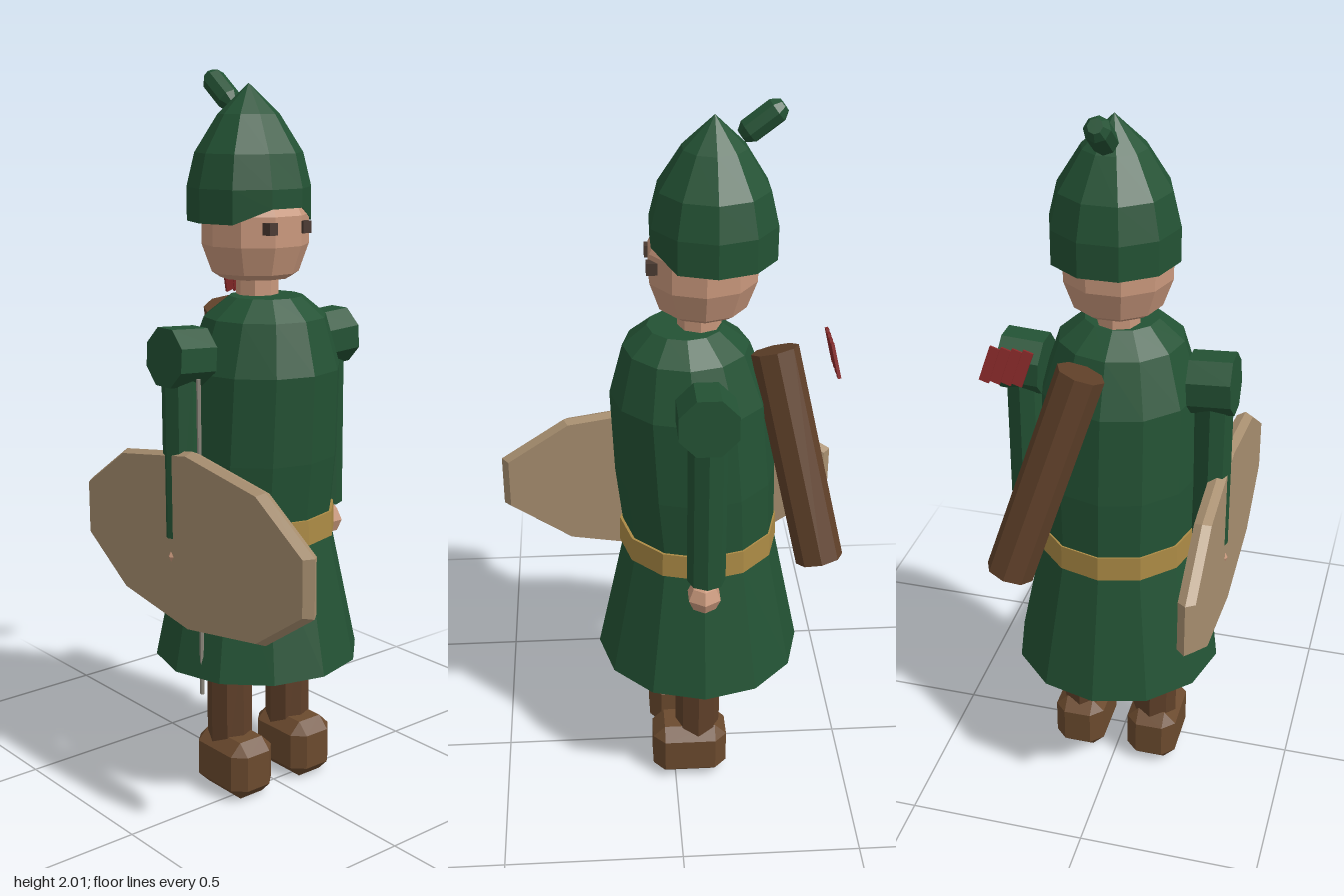
import * as THREE from 'three';
import { ConvexGeometry } from 'three/addons/geometries/ConvexGeometry.js';

const paint = (color, extra = {}) => new THREE.MeshStandardMaterial({ color, flatShading: true, ...extra });

export function createModel() {
  const model = new THREE.Group();
  const green = paint(0x235234);
  const greenOpen = paint(0x235234, { side: THREE.DoubleSide });
  const brown = paint(0x5f4029);
  const boot = paint(0x6b4a2e);
  const skin = paint(0xc9987c);
  const gold = paint(0xab8a45);
  const wood = paint(0xa88f70);
  const dark = paint(0x4a3a32);
  const red = paint(0x8a2a2a);
  const grey = paint(0x8c877c);

  const add = (name, geometry, material, x = 0, y = 0, z = 0) => {
    const mesh = new THREE.Mesh(geometry, material);
    mesh.name = name;
    mesh.position.set(x, y, z);
    model.add(mesh);
    return mesh;
  };
  // Turned shape from [radius, height] pairs, listed bottom to top
  const lathe = (pairs, sides, start = 0) =>
    new THREE.LatheGeometry(pairs.map(([r, y]) => new THREE.Vector2(r, y)), sides, start);
  // Box with every edge and corner cut by c
  const chamferBox = (a, b, d, c) => {
    const pts = [];
    for (const i of [-1, 1]) for (const j of [-1, 1]) for (const k of [-1, 1]) {
      pts.push(
        new THREE.Vector3(i * a, j * (b - c), k * (d - c)),
        new THREE.Vector3(i * (a - c), j * b, k * (d - c)),
        new THREE.Vector3(i * (a - c), j * (b - c), k * d));
    }
    return new ConvexGeometry(pts);
  };
  const axisTurn = (from, to) => new THREE.Quaternion().setFromUnitVectors(
    new THREE.Vector3(0, 1, 0), to.clone().sub(from).normalize());

  // Tunic: flared skirt, belt and a torso leaning slightly forward
  add('skirt', lathe([[0, 0.39], [0.29, 0.39], [0.213, 0.76]], 12), green, 0, 0, -0.075);
  add('belt', lathe([[0.205, 0.75], [0.221, 0.75], [0.219, 0.82], [0.2, 0.82]], 12), gold, 0, 0, -0.072);
  const torso = lathe([[0.212, 0.8], [0.22, 0.98], [0.214, 1.22], [0.168, 1.36], [0.1, 1.415], [0, 1.415]], 12);
  const tp = torso.attributes.position;
  for (let i = 0; i < tp.count; i++) tp.setZ(i, tp.getZ(i) + (tp.getY(i) - 0.8) * 0.07);
  add('torso', torso, green, 0, 0, -0.075);

  // Limbs, mirrored
  for (const [side, s] of [['left', 1], ['right', -1]]) {
    add(side + 'Leg', new THREE.CylinderGeometry(0.064, 0.064, 0.35, 8), brown, s * 0.108, 0.275, -0.067);
    add(side + 'Boot', chamferBox(0.073, 0.085, 0.108, 0.034), boot, s * 0.11, 0.085, -0.043);
    add(side + 'Arm', new THREE.CylinderGeometry(0.052, 0.052, 0.46, 8), green, s * 0.257, 1.01, -0.075);
    add(side + 'Hand', new THREE.SphereGeometry(0.052, 6, 4).scale(1, 0.9, 0.95), skin, s * 0.258, 0.728, -0.07);
    const pad = add(side + 'Shoulder',
      new THREE.CylinderGeometry(0.083, 0.083, 0.115, 8).rotateY(Math.PI / 8).rotateZ(Math.PI / 2),
      green, s * 0.255, 1.27, -0.073);
    pad.rotation.z = s * 0.06;
    add(side + 'Eye', new THREE.BoxGeometry(0.028, 0.032, 0.03), dark, s * 0.058, 1.6, 0.055);
  }

  // Neck and head
  add('neck', new THREE.CylinderGeometry(0.058, 0.058, 0.1, 8), skin, 0, 1.44, -0.07);
  add('head', lathe([[0, 1.455], [0.095, 1.46], [0.118, 1.475], [0.145, 1.55], [0.145, 1.63], [0.1, 1.72], [0, 1.75]],
    10, Math.PI / 2), skin, 0, 0, -0.077);

  // Pointed cap, with the rim lifted over the forehead
  const cap = lathe([[0.12, 1.66], [0.168, 1.61], [0.168, 1.7], [0.146, 1.79], [0.083, 1.89], [0, 1.97]], 10, Math.PI / 2);
  const cp = cap.attributes.position;
  for (let i = 0; i < cp.count; i++) {
    if (cp.getY(i) < 1.62 && cp.getZ(i) > 0.1 && Math.abs(cp.getX(i)) < 0.08) cp.setY(i, 1.65);
  }
  add('cap', cap, greenOpen, 0, 0, -0.103);
  const tassel = add('capTassel',
    lathe([[0, -0.063], [0.019, -0.063], [0.033, -0.043], [0.033, 0.043], [0.019, 0.063], [0, 0.063]], 8),
    green, 0, 1.952, -0.22);
  tassel.rotation.x = -0.92;

  // Oval shield with a bevelled rim, on the right arm
  const shield = lathe([[0, -0.023], [0.96, -0.023], [1, 0], [0.96, 0.023], [0, 0.023]], 10);
  shield.rotateZ(Math.PI / 2).rotateX(Math.PI / 2).scale(1, 0.25, 0.512);
  add('shield', shield, wood, -0.28, 0.78, 0);

  // Thin rod beside the right arm
  add('rod', new THREE.CylinderGeometry(0.006, 0.006, 0.88, 6), grey, -0.256, 0.78, 0);

  // Slanted quiver on the back, with arrow feathers
  const top = new THREE.Vector3(0.045, 1.355, -0.265);
  const bottom = new THREE.Vector3(0.213, 0.805, -0.385);
  const slant = axisTurn(bottom, top);
  const quiver = add('quiver', new THREE.CylinderGeometry(0.064, 0.064, top.distanceTo(bottom), 8), brown);
  quiver.position.copy(top).lerp(bottom, 0.5);
  quiver.quaternion.copy(slant);
  for (let i = 0; i < 4; i++) {
    const feather = add('feather', new THREE.BoxGeometry(0.026, 0.09, 0.008), red, 0.153 + i * 0.028, 1.418, -0.39);
    feather.quaternion.copy(slant);
  }
  return model;
}
